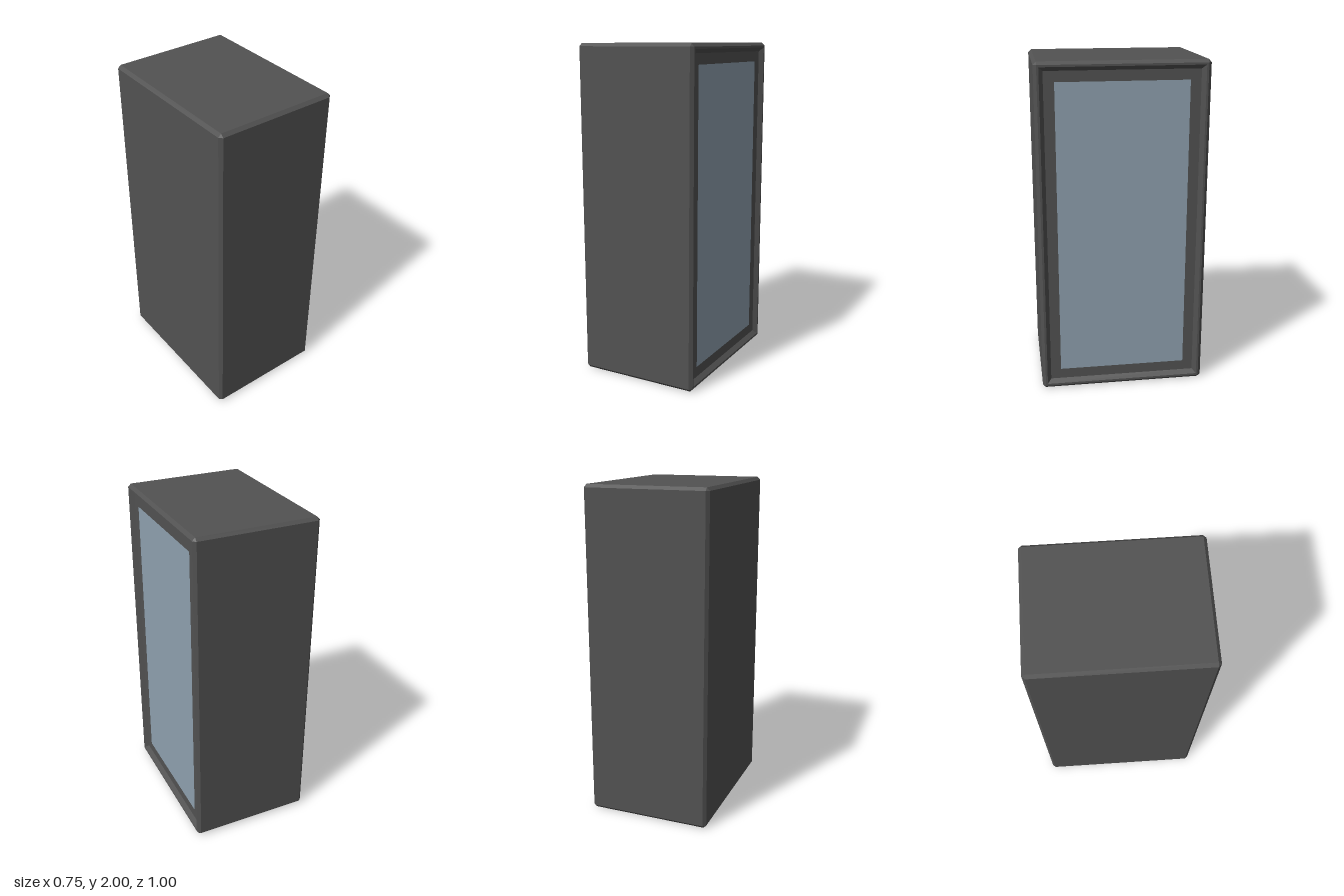
import * as THREE from 'three';

const HZ = 0.5, HY = 1, C = 0.018;

// Corners of a rectangle inset from the outer size, with optional cut corners,
// running counter-clockwise as seen from +x.
function ring({ x, inset, cut = 0 }) {
  const w = HZ - inset, h = HY - inset;
  return [
    [w, -h + cut], [w, h - cut], [w - cut, h], [-w + cut, h],
    [-w, h - cut], [-w, -h + cut], [-w + cut, -h], [w - cut, -h],
  ].map(([u, y]) => [x, y + HY, -u]);
}

// Joins successive rings into a faceted skin; an optional cap closes the first ring.
function loft(profile, capStart = false) {
  const rings = profile.map(ring);
  const pos = [];
  const tri = (a, b, c) => pos.push(...a, ...b, ...c);
  for (let k = 0; k < rings.length - 1; k++) {
    const a = rings[k], b = rings[k + 1];
    for (let i = 0; i < 8; i++) {
      const j = (i + 1) % 8;
      tri(a[i], a[j], b[j]);
      tri(a[i], b[j], b[i]);
    }
  }
  if (capStart) for (let i = 1; i < 7; i++) tri(rings[0][0], rings[0][i + 1], rings[0][i]);
  const geo = new THREE.BufferGeometry();
  geo.setAttribute('position', new THREE.Float32BufferAttribute(pos, 3));
  geo.computeVertexNormals();
  return geo;
}

export function createModel() {
  const group = new THREE.Group();
  const dark = new THREE.MeshStandardMaterial({ color: 0x525252, flatShading: true });
  const pane = new THREE.MeshStandardMaterial({ color: 0x90a2b0 });
  const add = (name, geo, mat) => {
    const mesh = new THREE.Mesh(geo, mat);
    mesh.name = name;
    group.add(mesh);
    return mesh;
  };

  // Chamfered case with a narrow rim and a bevel stepping into the window side
  add('case', loft([
    { x: -0.375, inset: C },
    { x: -0.357, inset: 0, cut: C },
    { x: 0.357, inset: 0, cut: C },
    { x: 0.375, inset: C },
    { x: 0.375, inset: 0.03 },
    { x: 0.35, inset: 0.053 },
  ], true), dark);

  // Flat frame around the glass
  add('windowFrame', loft([
    { x: 0.35, inset: 0.053 },
    { x: 0.35, inset: 0.115 },
  ]), dark);

  // Glass pane, flush with the frame
  const glass = add('glassPane', new THREE.PlaneGeometry(0.77, 1.77), pane);
  glass.rotation.y = Math.PI / 2;
  glass.position.set(0.35, HY, 0);

  return group;
}
